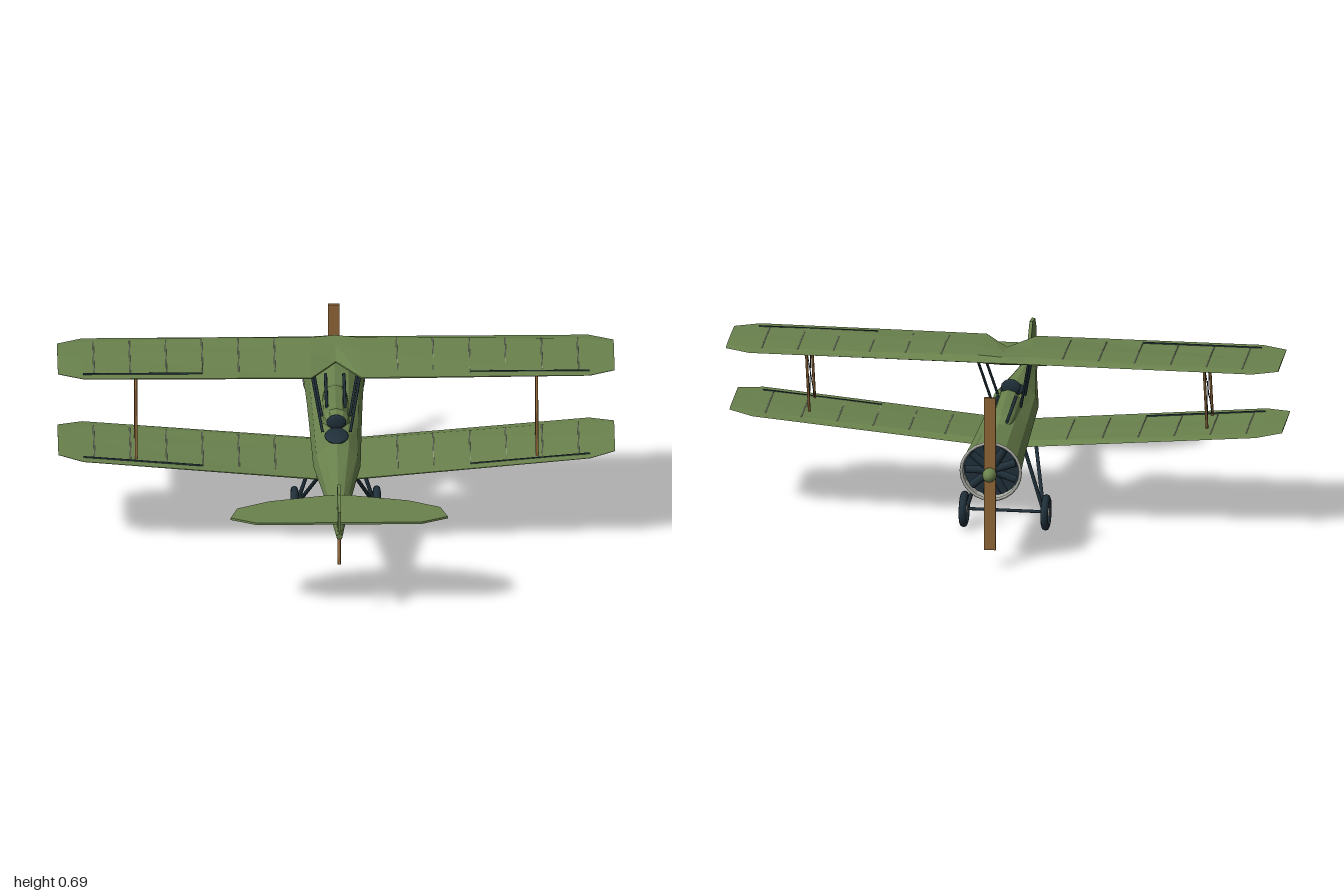
import * as THREE from 'three';

const mat = (name, color, side = THREE.FrontSide) => {
  const m = new THREE.MeshStandardMaterial({ color, side });
  m.name = name;
  return m;
};

export function createModel() {
  const root = new THREE.Group();
  root.name = 'biplane';
  const green = mat('olive green', 0x6a824d, THREE.DoubleSide);
  const grey = mat('light grey', 0xa6a9a0, THREE.DoubleSide);
  const dark = mat('dark slate', 0x20303a);
  const wood = mat('wood brown', 0x8f6638);

  const add = (name, geo, material, parent = root) => {
    const m = new THREE.Mesh(geo, material);
    m.name = name;
    parent.add(m);
    return m;
  };
  const group = (name) => {
    const g = new THREE.Group();
    g.name = name;
    root.add(g);
    return g;
  };

  // Round bar between two points
  const bar = (name, p, q, r, material, parent = root) => {
    const a = new THREE.Vector3(...p), b = new THREE.Vector3(...q);
    const m = add(name, new THREE.CylinderGeometry(r, r, a.distanceTo(b), 8), material, parent);
    m.position.copy(a).add(b).multiplyScalar(0.5);
    m.quaternion.setFromUnitVectors(new THREE.Vector3(0, 1, 0), b.sub(a).normalize());
    return m;
  };

  // Flat-shaded skin through a row of cross-sections
  const loft = (rings, closed) => {
    const v = [], n = rings[0].length;
    const tri = (a, b, c) => v.push(...a, ...b, ...c);
    for (let i = 0; i < rings.length - 1; i++) {
      for (let j = 0; j < (closed ? n : n - 1); j++) {
        const k = (j + 1) % n, A = rings[i], B = rings[i + 1];
        tri(A[j], B[j], B[k]);
        tri(A[j], B[k], A[k]);
      }
    }
    if (closed) {
      const first = rings[0], last = rings[rings.length - 1];
      for (let j = 1; j < n - 1; j++) {
        tri(first[0], first[j], first[j + 1]);
        tri(last[0], last[j + 1], last[j]);
      }
    }
    const g = new THREE.BufferGeometry();
    g.setAttribute('position', new THREE.Float32BufferAttribute(v, 3));
    g.computeVertexNormals();
    return g;
  };

  // Half-ellipse section, upper (dir 1) or lower (dir -1)
  const arc = (z, yc, h, w, dir) => Array.from({ length: 7 }, (_, i) => {
    const t = (i / 6) * Math.PI;
    return [w * Math.cos(t), yc + dir * h * Math.sin(t), z];
  });

  // Fuselage: z, bottom, top, half width
  const body = [
    [-0.6, 0.257, 0.475, 0.109], [-0.4, 0.267, 0.467, 0.1], [-0.21, 0.292, 0.458, 0.094],
    [0.1, 0.31, 0.455, 0.085], [0.42, 0.337, 0.413, 0.038], [0.67, 0.36, 0.385, 0.01],
  ];
  add('upperFuselage', loft(body.map(([z, , t, w]) => arc(z, 0.368, t - 0.368, w, 1)), false), green);
  add('lowerFuselage', loft(body.map(([z, b, , w]) => arc(z, 0.368, 0.368 - b, w, -1)), false), grey);
  add('tailCap', new THREE.CircleGeometry(0.011, 12), green).position.set(0, 0.372, 0.668);

  // Gun fairing, guns and cockpit
  const hump = [[-0.04, 0.01, 0.025], [-0.1, 0.06, 0.05], [-0.25, 0.049, 0.05], [-0.32, 0.042, 0.045], [-0.38, 0.018, 0.03]];
  add('gunFairing', loft(hump.map(([z, h, w]) => arc(z, 0.44, h, w, 1)), true), green);
  for (const s of [-1, 1]) bar('gun', [s * 0.033, 0.487, -0.14], [s * 0.033, 0.485, -0.4], 0.006, dark);
  const cockpit = add('cockpitOpening', new THREE.SphereGeometry(1, 16, 8), dark);
  cockpit.scale.set(0.044, 0.012, 0.062);
  cockpit.position.set(0, 0.455, 0.03);
  const screen = add('windscreen', new THREE.SphereGeometry(1, 14, 8), dark);
  screen.scale.set(0.036, 0.03, 0.01);
  screen.position.set(0, 0.483, -0.025);

  // Engine inside the open nose
  const engine = group('engine');
  engine.position.set(0, 0.366, -0.59);
  add('noseRing', new THREE.TorusGeometry(0.107, 0.006, 6, 24), grey, engine).position.z = -0.01;
  const wall = add('firewall', new THREE.CircleGeometry(0.103, 24), dark, engine);
  wall.rotation.y = Math.PI;
  wall.position.z = 0.03;
  for (let i = 0; i < 9; i++) {
    const a = (i / 9) * Math.PI * 2, c = Math.cos(a), s = Math.sin(a);
    bar('cylinder', [c * 0.02, s * 0.02, 0.008], [c * 0.094, s * 0.094, 0.008], 0.015, dark, engine);
  }
  bar('propellerShaft', [0, 0, 0.02], [0, 0, -0.04], 0.022, dark, engine);

  // Propeller
  add('propeller', new THREE.BoxGeometry(0.042, 0.58, 0.01), wood).position.set(0, 0.366, -0.621);
  const spinner = add('spinner', new THREE.SphereGeometry(1, 12, 10), green);
  spinner.scale.set(0.026, 0.026, 0.034);
  spinner.position.set(0, 0.366, -0.637);

  // Wings: airfoil top line as chord fraction and thickness fraction
  const topLine = [[0, 0.4], [0.12, 1], [0.45, 0.85], [1, 0.2]];
  const wing = (name, z0, y0, rise, t0, t1, cutout) => {
    const g = group(name);
    const base = (x) => y0 + rise * Math.abs(x);
    const thick = (x) => t0 + (t1 - t0) * Math.abs(x);
    const section = ([x, le, te]) => {
      const pt = ([f, h]) => [x, base(x) + h * thick(x), z0 + le + (te - le) * f];
      return [...topLine, [1, 0], [0.08, 0]].map(pt);
    };
    const half = [[0, 0, cutout ? 0.19 : 0.32], [0.09, 0, 0.32], [0.91, 0, 0.32], [1, 0.04, 0.28]];
    const span = [...half.slice(1).reverse().map(([x, a, b]) => [-x, a, b]), ...half];
    add('wingSkin', loft(span.map(section), true), green, g);
    const on = (x, i, f) => {
      const [a, b] = [topLine[i], topLine[i + 1]];
      const h = a[1] + (b[1] - a[1]) * (f - a[0]) / (b[0] - a[0]);
      return [x, base(x) + h * thick(x), z0 + f * 0.32];
    };
    for (const s of [-1, 1]) {
      for (let i = 0; i < 6; i++) {
        const x = s * (0.22 + i * 0.13);
        bar('rib', on(x, 1, 0.12), on(x, 1, 0.45), 0.002, grey, g);
        bar('rib', on(x, 2, 0.45), on(x, 2, 0.85), 0.002, grey, g);
      }
      bar('aileronHinge', on(s * 0.48, 2, 0.89), on(s * 0.91, 2, 0.89), 0.004, dark, g);
    }
  };
  wing('upperWing', -0.32, 0.668, 0.007, 0.027, 0.007, true);
  wing('lowerWing', -0.215, 0.31, 0.093, 0.022, 0.006, false);

  for (const s of [-1, 1]) {
    // Interplane struts and crossed wires
    const x = s * 0.72;
    const up = [[x, 0.675, -0.2], [x, 0.675, -0.05]], low = [[x, 0.38, -0.1], [x, 0.38, 0.053]];
    for (const i of [0, 1]) {
      bar('interplaneStrut', low[i], up[i], 0.005, wood);
      bar('bracingWire', low[i], up[1 - i], 0.0015, dark);
    }
    // Cabane struts
    bar('rearCabaneStrut', [s * 0.05, 0.45, -0.01], [s * 0.095, 0.672, -0.13], 0.005, dark);
    bar('frontCabaneStrut', [s * 0.05, 0.45, -0.135], [s * 0.095, 0.672, -0.25], 0.005, dark);
    // Landing gear
    bar('frontGearLeg', [s * 0.065, 0.32, -0.18], [s * 0.14, 0.07, -0.19], 0.007, dark);
    bar('rearGearLeg', [s * 0.065, 0.325, 0.095], [s * 0.14, 0.07, -0.19], 0.007, dark);
    const tyre = add('tyre', new THREE.TorusGeometry(0.052, 0.014, 8, 24), dark);
    tyre.rotation.y = Math.PI / 2;
    tyre.position.set(s * 0.148, 0.07, -0.19);
    bar('wheelHub', [s * 0.135, 0.07, -0.19], [s * 0.161, 0.07, -0.19], 0.018, grey);
  }
  bar('axle', [-0.15, 0.072, -0.19], [0.15, 0.072, -0.19], 0.006, dark);

  // Tailplane, fin and skid
  const plate = (pts, depth) => {
    const shape = new THREE.Shape(pts.map(([a, b]) => new THREE.Vector2(a, b)));
    return new THREE.ExtrudeGeometry(shape, { depth, bevelEnabled: false }).translate(0, 0, -depth / 2);
  };
  const side = [[0.04, 0.42], [0.25, 0.465], [0.365, 0.52], [0.39, 0.595], [0.295, 0.638]];
  const outline = [...side, ...side.map(([x, z]) => [-x, z]).reverse()];
  add('tailplane', plate(outline, 0.008).rotateX(Math.PI / 2), green).position.y = 0.409;
  const fin = [[0.657, 0.375], [0.662, 0.465], [0.622, 0.515], [0.555, 0.525], [0.51, 0.48], [0.44, 0.41]];
  add('fin', plate(fin.map(([z, y]) => [-z, y]), 0.012).rotateY(Math.PI / 2), green);
  bar('tailSkid', [0, 0.36, 0.563], [0, 0.23, 0.608], 0.006, wood);

  return root;
}
